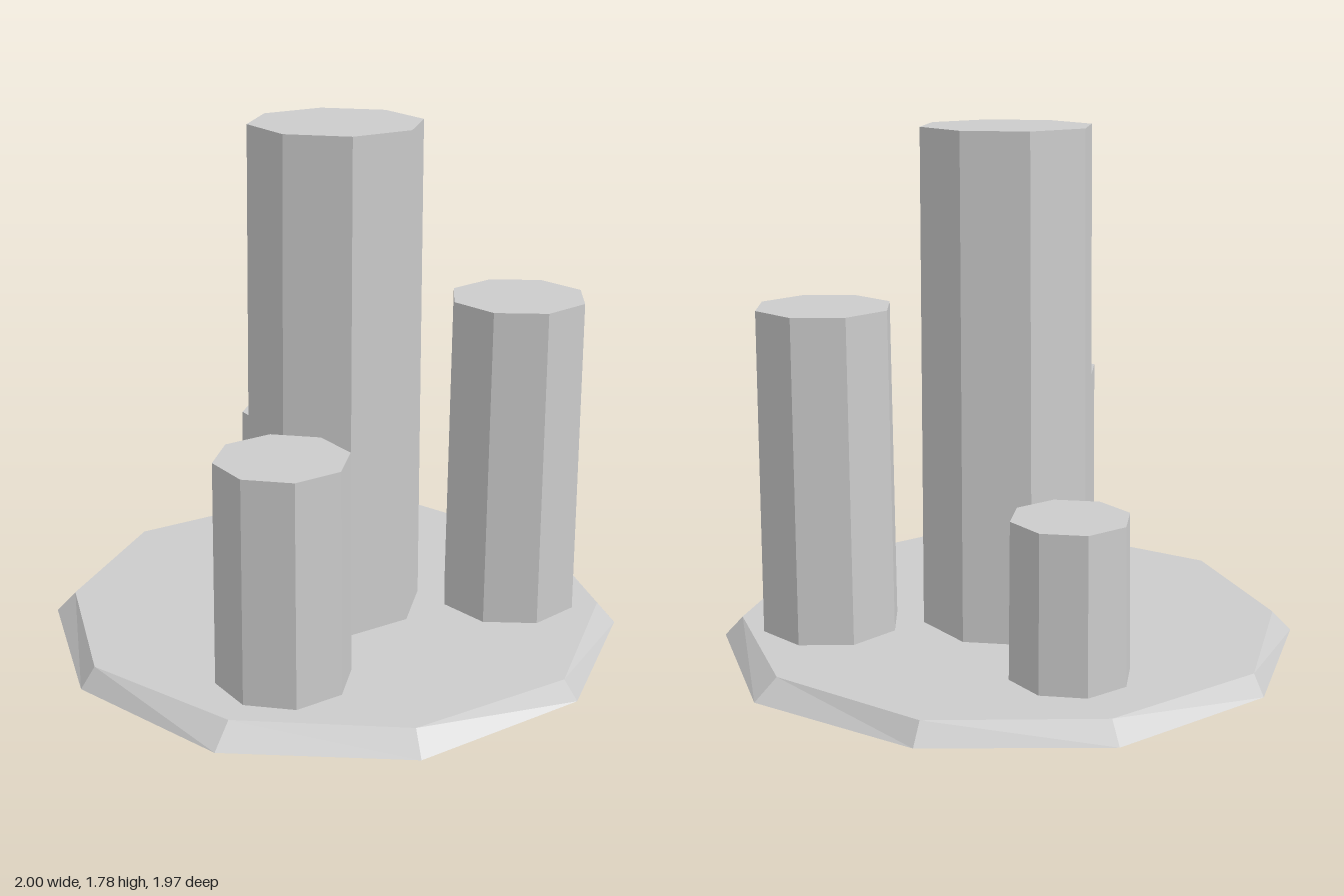
import * as THREE from 'three';

const material = new THREE.MeshStandardMaterial({ color: 0xcccccc, flatShading: true });
const BASE_HEIGHT = 0.07;

// Uneven ten-sided slab with a bevelled rim; corners are [x, z], clockwise from above
const RIM_BOTTOM = [
  [0.2, -0.99], [0.73, -0.67], [1, -0.11], [0.85, 0.49], [0.4, 0.9],
  [-0.23, 0.98], [-0.77, 0.65], [-1, 0.08], [-0.88, -0.52], [-0.41, -0.93],
];
const RIM_TOP = [
  [0.19, -0.935], [0.69, -0.64], [0.92, -0.11], [0.8, 0.45], [0.37, 0.865],
  [-0.21, 0.91], [-0.7, 0.6], [-0.95, 0.08], [-0.82, -0.49], [-0.4, -0.89],
];

function createBase() {
  const positions = [];
  const triangle = (...points) => points.forEach((p) => positions.push(...p));
  const low = RIM_BOTTOM.map(([x, z]) => [x, 0, z]);
  const high = RIM_TOP.map(([x, z]) => [x, BASE_HEIGHT, z]);
  low.forEach((a, i) => {
    const j = (i + 1) % low.length;
    const b = low[j];
    triangle(a, high[i], high[j]);
    triangle(a, high[j], b);
    triangle([0, BASE_HEIGHT, 0], high[j], high[i]);
    triangle([0, 0, 0], a, b);
  });
  const geometry = new THREE.BufferGeometry();
  geometry.setAttribute('position', new THREE.Float32BufferAttribute(positions, 3));
  geometry.computeVertexNormals();
  const mesh = new THREE.Mesh(geometry, material);
  mesh.name = 'base';
  return mesh;
}

// Slightly tapered and leaning octagonal column; turn is the angle of its first corner
function createColumn({ name, x, z, top, radius, topRadius, turn, lean }) {
  const height = top - BASE_HEIGHT;
  const geometry = new THREE.CylinderGeometry(topRadius, radius, height, 8);
  geometry.rotateY(turn);
  const p = geometry.attributes.position;
  for (let i = 0; i < p.count; i++) {
    if (p.getY(i) > 0) p.setXYZ(i, p.getX(i) + lean[0], p.getY(i), p.getZ(i) + lean[1]);
  }
  geometry.computeVertexNormals();
  const mesh = new THREE.Mesh(geometry, material);
  mesh.position.set(x, BASE_HEIGHT + height / 2, z);
  mesh.name = name;
  return mesh;
}

const COLUMNS = [
  { name: 'centreColumn', x: -0.01, z: -0.021, top: 1.78, radius: 0.306, topRadius: 0.294, turn: 2.84, lean: [0.003, 0.01] },
  { name: 'leftColumn', x: 0.552, z: 0.246, top: 1.185, radius: 0.243, topRadius: 0.235, turn: 3.0, lean: [-0.002, 0.009] },
  { name: 'rightColumn', x: -0.426, z: 0.426, top: 0.83, radius: 0.225, topRadius: 0.219, turn: 2.87, lean: [0, 0.004] },
  { name: 'backColumn', x: 0.106, z: -0.581, top: 0.595, radius: 0.203, topRadius: 0.197, turn: 2.83, lean: [0, 0.005] },
];

export function createModel() {
  const model = new THREE.Group();
  model.name = 'columnCluster';
  model.add(createBase(), ...COLUMNS.map(createColumn));
  return model;
}
